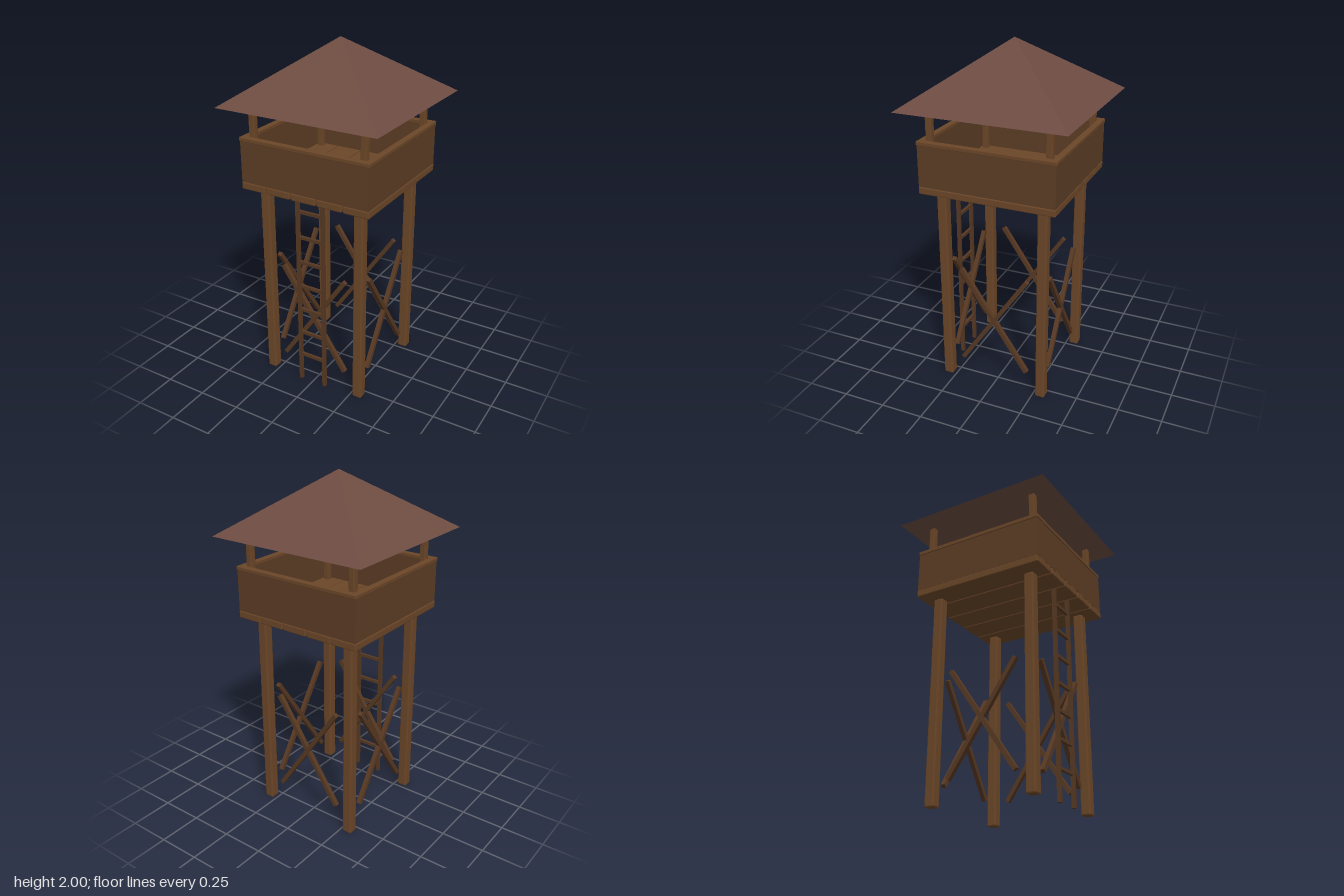
import * as THREE from 'three';
import { RoundedBoxGeometry } from 'three/addons/geometries/RoundedBoxGeometry.js';

const paint = (color) => new THREE.MeshStandardMaterial({ color, flatShading: true });

export function createModel() {
  const model = new THREE.Group();
  const timber = paint(0x6b4628);
  const panel = paint(0x5c3d25);
  const darkTimber = paint(0x573822);
  const roofBrown = paint(0x6d4c41);

  // Box, with chamfered edges when a bevel is given
  function beam(name, parent, material, size, position, bevel = 0) {
    const geometry = bevel
      ? new RoundedBoxGeometry(...size, 1, bevel)
      : new THREE.BoxGeometry(...size);
    const mesh = new THREE.Mesh(geometry, material);
    mesh.name = name;
    mesh.position.set(...position);
    parent.add(mesh);
    return mesh;
  }

  // Legs and the thinner posts that carry the roof
  for (const sx of [-1, 1]) {
    for (const sz of [-1, 1]) {
      beam('leg', model, timber, [0.057, 1.19, 0.057], [sx * 0.297, 0.595, sz * 0.297], 0.008);
      beam('roofPost', model, timber, [0.036, 0.44, 0.036], [sx * 0.34, 1.445, sz * 0.34], 0.005);
    }
  }

  // Floor planks running front to back
  for (let i = -2; i <= 2; i++) {
    beam('floorPlank', model, timber, [0.152, 0.042, 0.79], [i * 0.16, 1.216, 0], 0.006);
  }

  // Each side: parapet wall, top rail and crossed braces
  for (let i = 0; i < 4; i++) {
    const side = new THREE.Group();
    side.name = 'side';
    side.rotation.y = i * Math.PI / 2;
    model.add(side);
    beam('wall', side, panel, [0.786, 0.24, 0.022], [0, 1.357, 0.382]);
    beam('topRail', side, timber, [0.794, 0.024, 0.036], [0, 1.483, 0.379], 0.004);
    for (const s of [-1, 1]) {
      const brace = beam('brace', side, darkTimber, [0.025, 0.72, 0.025], [0, 0.43, 0.297]);
      brace.rotation.z = s * Math.atan2(0.4, 0.59);
    }
  }

  // Ladder at the front
  const ladder = new THREE.Group();
  ladder.name = 'ladder';
  model.add(ladder);
  for (const s of [-1, 1]) {
    beam('ladderStile', ladder, darkTimber, [0.02, 1.2, 0.02], [s * 0.08, 0.6, 0.324]);
  }
  for (let i = 0; i < 7; i++) {
    beam('ladderRung', ladder, darkTimber, [0.15, 0.018, 0.016], [0, 0.175 + i * 0.155, 0.324]);
  }

  // Pyramid roof
  const roof = new THREE.Mesh(new THREE.ConeGeometry(0.48 * Math.SQRT2, 0.337, 4), roofBrown);
  roof.name = 'roof';
  roof.rotation.y = Math.PI / 4;
  roof.position.y = 2 - 0.337 / 2;
  model.add(roof);

  return model;
}
